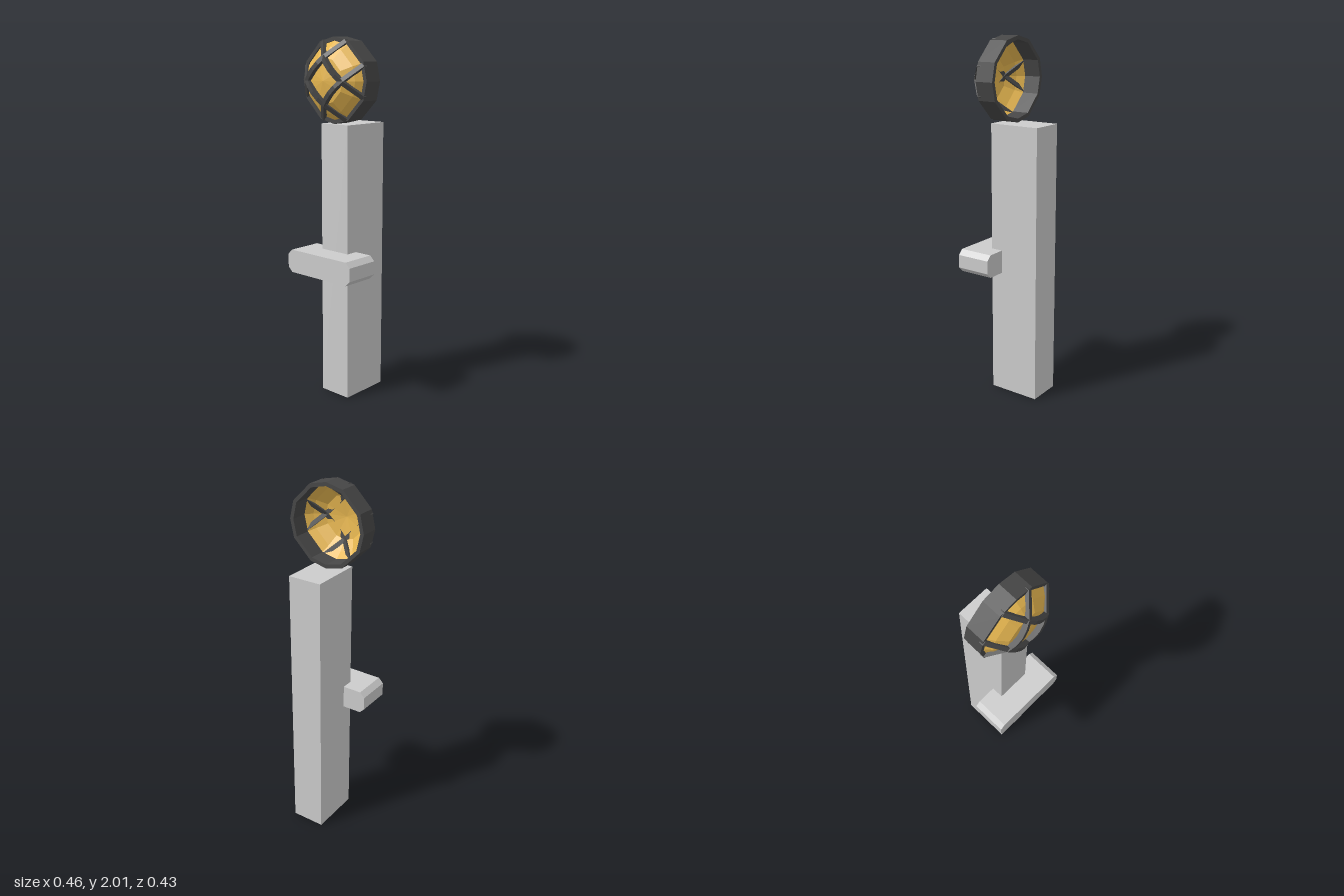
import * as THREE from 'three';

const material = (color, extra = {}) => new THREE.MeshStandardMaterial({ color, flatShading: true, ...extra });

function add(parent, name, geometry, mat) {
  const mesh = new THREE.Mesh(geometry, mat);
  mesh.name = name;
  parent.add(mesh);
  return mesh;
}

// Twelve-sided turned part facing +z, its corners pulled towards the axes
function turned(points) {
  const geo = new THREE.LatheGeometry(points.map(([r, h]) => new THREE.Vector2(r, h)), 12);
  geo.rotateX(Math.PI / 2);
  const p = geo.attributes.position;
  const pull = THREE.MathUtils.degToRad(4) / Math.sin(Math.PI * 2 / 3);
  for (let i = 0; i < p.count; i++) {
    const r = Math.hypot(p.getX(i), p.getY(i));
    const a = Math.atan2(p.getY(i), p.getX(i));
    const b = a - pull * Math.sin(4 * a);
    p.setXY(i, r * Math.cos(b), r * Math.sin(b));
  }
  geo.computeVertexNormals();
  return geo;
}

const polygon = (pts) => new THREE.Shape(pts.map(([x, y]) => new THREE.Vector2(x, y)));

export function createModel() {
  const model = new THREE.Group();
  model.name = 'lampPost';
  const grey = material(0xcccccc);
  const dark = material(0x474747);
  const amber = material(0xe6b650, { side: THREE.DoubleSide });

  // Post
  const post = add(model, 'post', new THREE.BoxGeometry(0.192, 1.547, 0.295), grey);
  post.position.set(0.002, 0.7735, -0.0675);

  // Crossbar with chamfered ends
  const w = 0.231, h = 0.065, c = 0.028;
  const barShape = polygon([
    [-w + c, -h], [w - c, -h], [w, -h + c], [w, h - c],
    [w - c, h], [-w + c, h], [-w, h - c], [-w, -h + c],
  ]);
  const crossbar = add(model, 'crossbar',
    new THREE.ExtrudeGeometry(barShape, { depth: 0.2, bevelEnabled: false }), grey);
  crossbar.position.set(0, 0.78, 0.012);

  // Lamp: open-backed rim, domed lens and cage
  const lamp = new THREE.Group();
  lamp.name = 'lamp';
  lamp.position.y = 1.777;
  model.add(lamp);

  add(lamp, 'rim', turned([
    [0.207, -0.027], [0.228, -0.027], [0.228, 0.08], [0.207, 0.08], [0.207, -0.027],
  ]), dark);
  add(lamp, 'lens', turned([[0.215, 0.062], [0.175, 0.108], [0.12, 0.147], [0, 0.166]]), amber);

  // Cage: four arched bars crossing diagonally
  const arch = polygon([
    [-0.205, 0.06], [-0.205, 0.083], [-0.092, 0.165], [-0.045, 0.18], [0, 0.185],
    [0.045, 0.18], [0.092, 0.165], [0.205, 0.083], [0.205, 0.06],
    [0.085, 0.14], [0.04, 0.152], [0, 0.156], [-0.04, 0.152], [-0.085, 0.14],
  ]);
  const barGeo = new THREE.ExtrudeGeometry(arch, { depth: 0.024, bevelEnabled: false });
  barGeo.rotateX(Math.PI / 2);
  barGeo.translate(0, 0.085 + 0.012, 0);
  for (let i = 0; i < 4; i++) {
    add(lamp, 'cageBar', barGeo, dark).rotation.z = Math.PI / 4 + i * Math.PI / 2;
  }
  return model;
}
